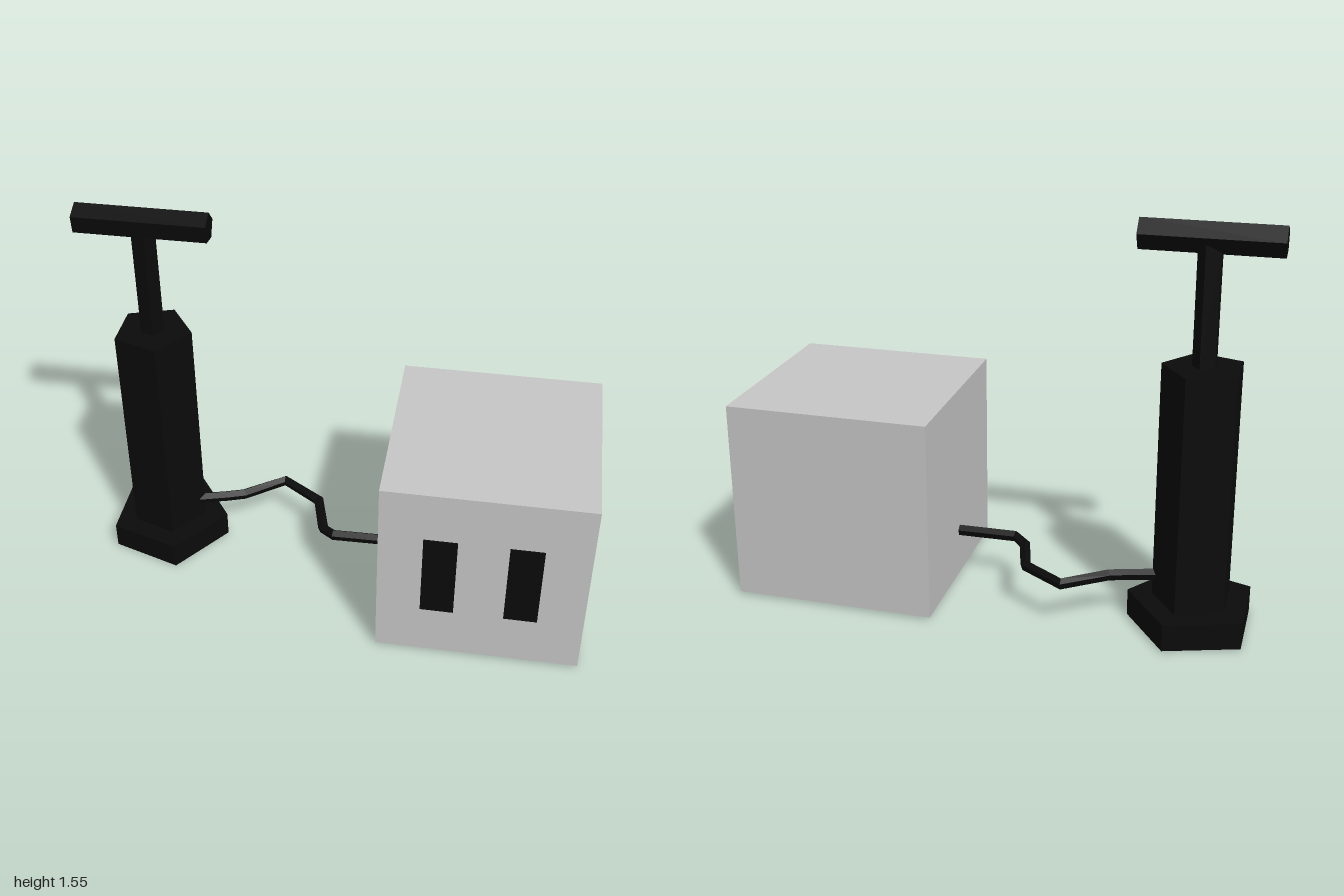
import * as THREE from 'three';

export function createModel() {
  const model = new THREE.Group();
  const black = new THREE.MeshStandardMaterial({ color: 0x0b0b0b, flatShading: true });
  black.name = 'black';
  const grey = new THREE.MeshStandardMaterial({ color: 0xc8c8c8 });
  grey.name = 'lightGrey';

  const add = (name, geometry, material, x = 0, y = 0, z = 0) => {
    const mesh = new THREE.Mesh(geometry, material);
    mesh.name = name;
    mesh.position.set(x, y, z);
    model.add(mesh);
    return mesh;
  };

  // Cube with two slots on its front face
  add('cube', new THREE.BoxGeometry(0.785, 0.78, 0.785), grey, 0.6075, 0.4, -0.0175);
  for (const [name, x] of [['rightSlot', 0.446], ['leftSlot', 0.763]]) {
    add(name, new THREE.BoxGeometry(0.127, 0.355, 0.008), black, x, 0.402, 0.375);
  }

  // Upright five-sided pump parts, one corner pointing to +x
  const px = -0.746, pz = -0.165;
  const prism = (name, radius, bottom, top) => add(name,
    new THREE.CylinderGeometry(radius, radius, top - bottom, 5, 1, false, Math.PI / 2),
    black, px, (bottom + top) / 2, pz);
  prism('pumpBase', 0.248, 0, 0.105);
  prism('pumpBarrel', 0.155, 0.1, 1.025);
  prism('pumpRod', 0.047, 1.02, 1.47);

  // Five-sided handle lying along x
  const handle = new THREE.CylinderGeometry(0.058, 0.058, 0.505, 5, 1, false, THREE.MathUtils.degToRad(173));
  handle.rotateZ(Math.PI / 2);
  add('pumpHandle', handle, black, -0.7475, 1.49, pz);

  // Angular hose from the barrel to the cube, one ring per bend
  const points = [
    [-0.65, 0.185, -0.15], [-0.5, 0.185, -0.193], [-0.43, 0.185, -0.217], [-0.275, 0.185, -0.332],
    [-0.112, 0.185, -0.225], [-0.064, 0.185, -0.055], [-0.015, 0.195, -0.013], [0.23, 0.195, -0.018],
  ].map(p => new THREE.Vector3(...p));
  const path = new THREE.CatmullRomCurve3(points, false, 'catmullrom', 0);
  path.getPointAt = t => path.getPoint(t);
  path.getTangentAt = t => path.getTangent(t);
  add('hose', new THREE.TubeGeometry(path, points.length - 1, 0.022, 5), black);

  return model;
}
